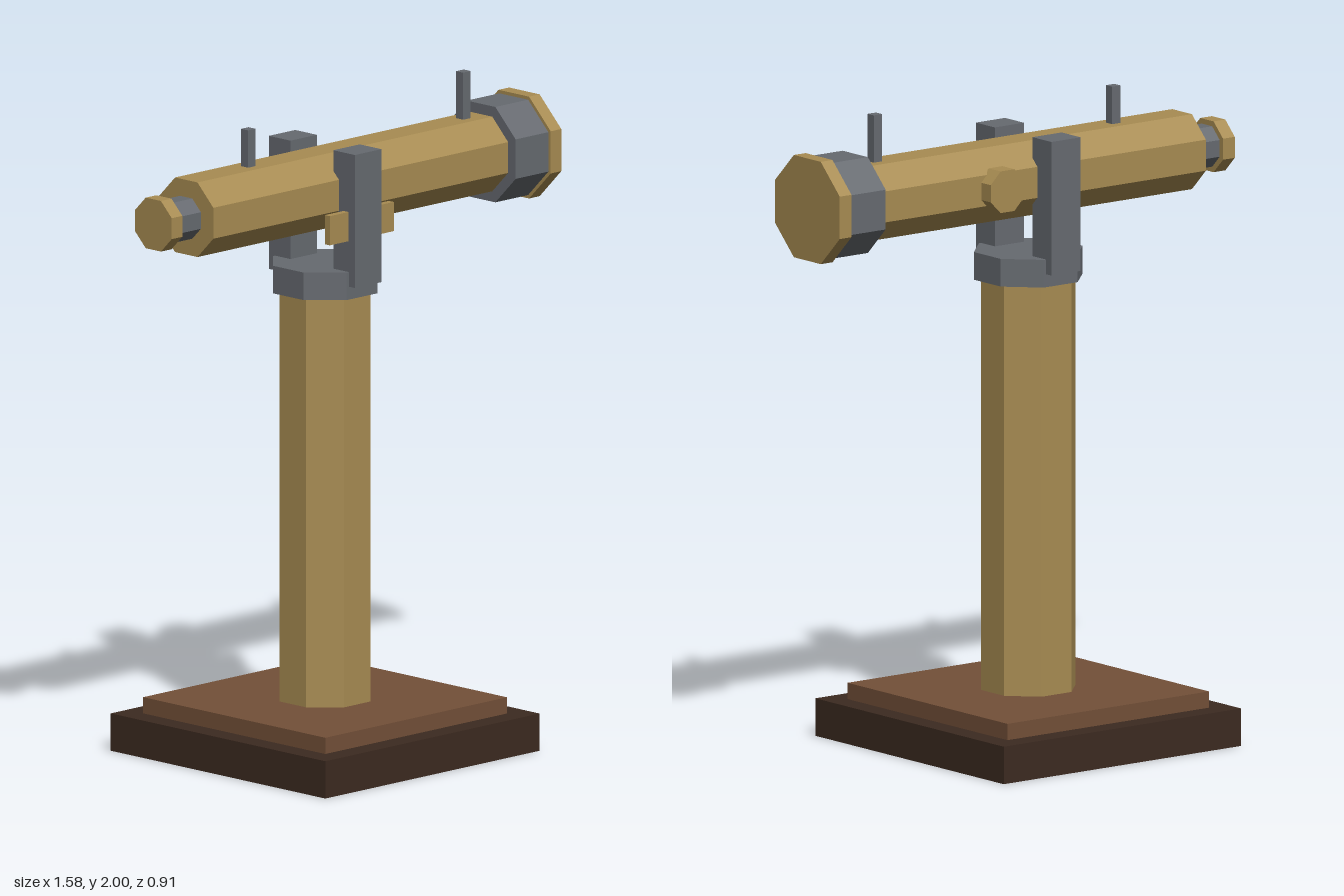
import * as THREE from 'three';

const material = (color) => new THREE.MeshStandardMaterial({ color, flatShading: true });

export function createModel() {
  const group = new THREE.Group();
  const brass = material(0xa88c52);
  const steel = material(0x666a70);
  const darkWood = material(0x3c2a20);
  const wood = material(0x735038);

  const standX = -0.06; // centre of the stand
  const axisY = 1.74; // height of the telescope axis

  const add = (name, geometry, mat) => {
    const mesh = new THREE.Mesh(geometry, mat);
    mesh.name = name;
    group.add(mesh);
    return mesh;
  };

  // Box given by its extents on each axis
  const box = (name, mat, [x0, x1], [y0, y1], [z0, z1]) =>
    add(name, new THREE.BoxGeometry(x1 - x0, y1 - y0, z1 - z0), mat)
      .position.set((x0 + x1) / 2, (y0 + y1) / 2, (z0 + z1) / 2);

  // Octagonal prism with flats facing the axes, sized by its half width
  const octagon = (halfWidth, length) => {
    const r = halfWidth / Math.cos(Math.PI / 8);
    return new THREE.CylinderGeometry(r, r, length, 8).rotateY(Math.PI / 8);
  };
  const upright = (name, mat, half, y0, y1) =>
    add(name, octagon(half, y1 - y0), mat).position.set(standX, (y0 + y1) / 2, 0);
  const barrel = (name, mat, half, x0, x1) =>
    add(name, octagon(half, x1 - x0).rotateZ(-Math.PI / 2), mat)
      .position.set((x0 + x1) / 2, axisY, 0);

  // Stepped base
  box('basePlinth', darkWood, [-0.515, 0.395], [0, 0.115], [-0.456, 0.456]);
  box('baseTop', wood, [-0.446, 0.326], [0.115, 0.165], [-0.387, 0.387]);

  // Column and collar
  upright('column', brass, 0.137, 0.165, 1.425);
  upright('columnCollar', steel, 0.157, 1.425, 1.51);

  // Yoke posts on both sides of the tube
  for (const [name, z] of [['frontYokePost', 0.137], ['backYokePost', -0.137]]) {
    box(name, steel, [standX - 0.056, standX + 0.056], [1.465, 1.875], [z - 0.046, z + 0.046]);
  }

  // Telescope, from eyepiece to objective
  barrel('eyepieceCap', brass, 0.078, -0.79, -0.745);
  barrel('eyepieceTube', steel, 0.062, -0.745, -0.65);
  barrel('mainTube', brass, 0.115, -0.65, 0.603);
  barrel('objectiveRing', steel, 0.147, 0.603, 0.742);
  barrel('objectiveCap', brass, 0.157, 0.742, 0.787);

  // Sights on top of the tube
  box('rearSight', steel, [-0.402, -0.37], [1.84, 1.97], [-0.015, 0.015]);
  box('frontSight', steel, [0.512, 0.544], [1.84, 2], [-0.015, 0.015]);

  // Plate across the front post
  box('sidePlate', brass, [-0.196, 0.076], [1.605, 1.695], [0.135, 0.156]);

  // Focus knob on the back of the tube
  add('focusKnob', octagon(0.064, 0.058).rotateX(Math.PI / 2), brass)
    .position.set(0.147, axisY, -0.132);

  return group;
}
